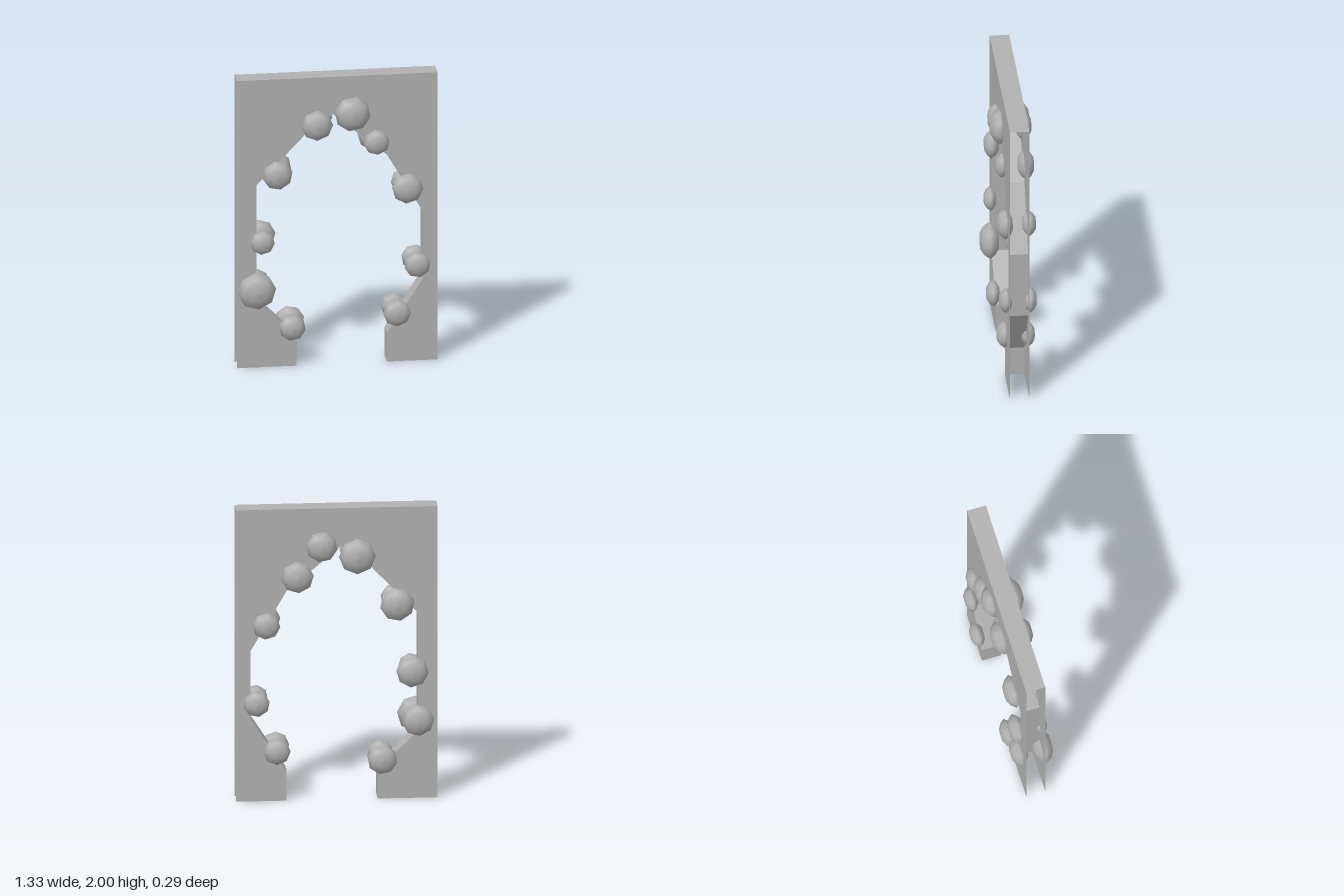
import * as THREE from 'three';

const HALF_W = 0.665, HEIGHT = 2, HALF_D = 0.065, ROCK_Z = 0.08;

// Edge of the opening, from the foot at -x over the top to the foot at +x
const OPENING = [
  [-0.27, 0], [-0.27, 0.2], [-0.535, 0.46], [-0.535, 1.27], [-0.2, 1.62], [-0.03, 1.74],
  [0.33, 1.44], [0.57, 1.03], [0.57, 0.57], [0.33, 0.2], [0.33, 0],
];

// Boulders along the opening: x, y, front radius, back radius
const ROCKS = [
  [-0.3, 0.27, 0.09, 0.1], [-0.535, 0.535, 0.128, 0.108], [-0.498, 0.87, 0.082, 0.108],
  [-0.398, 1.335, 0.1, 0.115], [-0.135, 1.67, 0.105, 0.122], [0.1, 1.74, 0.121, 0.105],
  [0.26, 1.535, 0.087, 0.108], [0.465, 1.205, 0.105, 0.092], [0.53, 0.67, 0.088, 0.088],
  [0.395, 0.34, 0.093, 0.09],
];

// Flat panel with the opening cut up from the floor; side = -1 mirrors it in x
function panelGeometry(side) {
  const outline = [[-HALF_W, 0], ...OPENING, [HALF_W, 0], [HALF_W, HEIGHT], [-HALF_W, HEIGHT]];
  return new THREE.ShapeGeometry(
    new THREE.Shape(outline.map(([x, y]) => new THREE.Vector2(x * side, y))));
}

// Flat-faceted strip following a path through the wall's depth
function stripGeometry(path) {
  const v = [];
  for (let i = 0; i < path.length - 1; i++) {
    const a = path[i], b = path[i + 1], d = HALF_D;
    v.push(...a, -d, ...b, -d, ...b, d, ...a, -d, ...b, d, ...a, d);
  }
  const g = new THREE.BufferGeometry();
  g.setAttribute('position', new THREE.Float32BufferAttribute(v, 3));
  g.computeVertexNormals();
  return g;
}

// Eight-sided flattened boulder of unit radius, its short axis along z
function rockGeometry() {
  const half = [[1, 0], [0.78, 0.28], [0.45, 0.47], [0, 0.51]];
  const profile = [...half.slice(1).reverse().map(([r, h]) => [r, -h]), ...half];
  const g = new THREE.LatheGeometry(profile.map(([r, h]) => new THREE.Vector2(r, h)), 8);
  return g.rotateX(Math.PI / 2);
}

export function createModel() {
  const model = new THREE.Group();
  model.name = 'rockArchway';
  const stone = new THREE.MeshStandardMaterial({ color: 0xb0b0b0, side: THREE.DoubleSide });
  stone.name = 'grey stone';

  const add = (parent, name, geometry) => {
    const mesh = new THREE.Mesh(geometry, stone);
    mesh.name = name;
    parent.add(mesh);
    return mesh;
  };

  // Wall shell, open at its outer ends and underneath
  const wall = new THREE.Group();
  wall.name = 'wall';
  model.add(wall);
  add(wall, 'frontPanel', panelGeometry(1)).position.z = HALF_D;
  const back = add(wall, 'backPanel', panelGeometry(-1));
  back.rotation.y = Math.PI;
  back.position.z = -HALF_D;
  add(wall, 'openingReveal', stripGeometry(OPENING));
  add(wall, 'topFace', stripGeometry([[HALF_W, HEIGHT], [-HALF_W, HEIGHT]]));

  // Boulders set into both faces
  const rock = rockGeometry();
  for (const side of [1, -1]) {
    const group = new THREE.Group();
    group.name = side > 0 ? 'frontRocks' : 'backRocks';
    model.add(group);
    ROCKS.forEach(([x, y, front, backRadius], i) => {
      const mesh = add(group, 'rock' + (i + 1), rock);
      mesh.position.set(x, y, side * ROCK_Z);
      mesh.scale.setScalar(side > 0 ? front : backRadius);
      mesh.rotation.z = 0.1 * ((i * 3) % 5 - 2) * side;
    });
  }
  return model;
}
